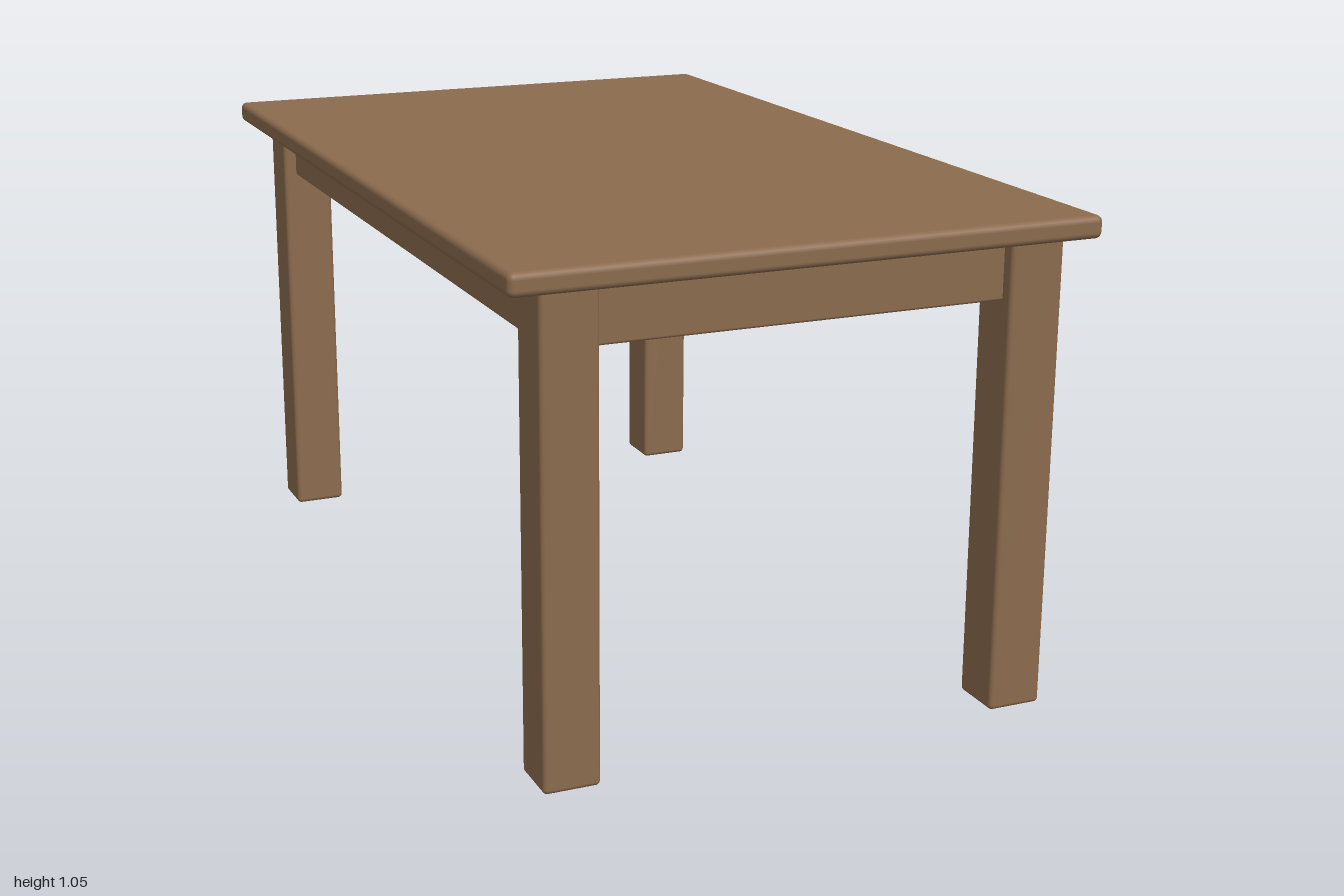
import * as THREE from 'three';
import { RoundedBoxGeometry } from 'three/addons/geometries/RoundedBoxGeometry.js';

export function createModel() {
  const model = new THREE.Group();
  model.name = 'table';
  const wood = new THREE.MeshStandardMaterial({ color: 0x8b6b4e });
  wood.name = 'brown wood';

  // Softly rounded board given by its size and centre
  const board = (name, size, centre, radius) => {
    const mesh = new THREE.Mesh(new RoundedBoxGeometry(...size, 3, radius), wood);
    mesh.name = name;
    mesh.position.set(...centre);
    model.add(mesh);
  };

  // Table top, overhanging the frame
  board('tableTop', [1.26, 0.048, 2], [0, 1.032, 0], 0.014);

  for (const s of [1, -1]) {
    const side = s > 0 ? 'left' : 'right';
    const end = s > 0 ? 'front' : 'back';

    // Square legs at the corners
    for (const e of [1, -1]) {
      board(`${side}${e > 0 ? 'Front' : 'Back'}Leg`, [0.12, 1.015, 0.12], [s * 0.5, 0.5115, e * 0.909], 0.01);
    }

    // Aprons between the legs, set back from their outer faces
    board(`${side}Apron`, [0.05, 0.13, 1.72], [s * 0.505, 0.951, 0], 0.006);
    board(`${end}Apron`, [0.9, 0.13, 0.05], [0, 0.951, s * 0.914], 0.006);
  }
  return model;
}
